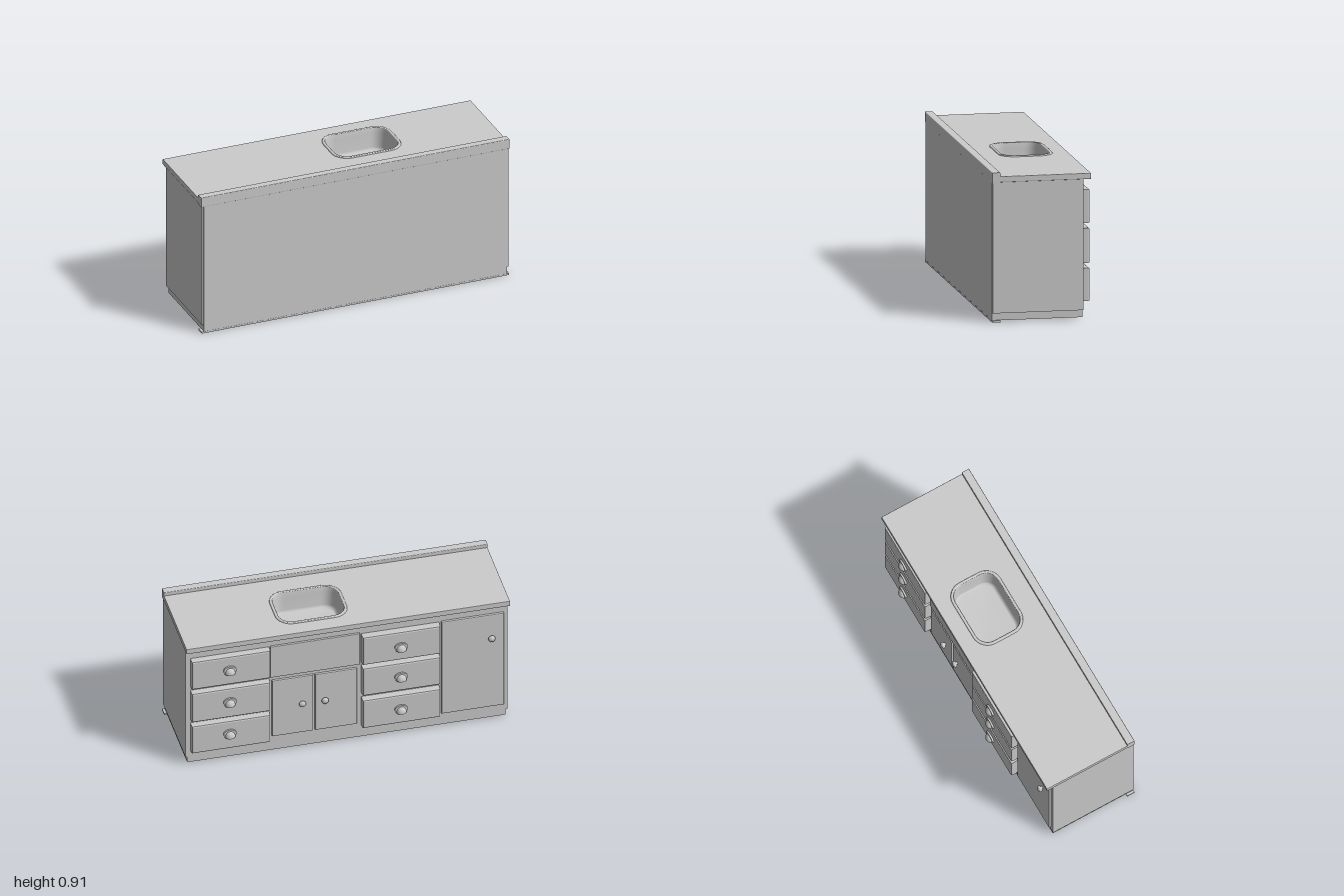
import * as THREE from 'three';

const material = new THREE.MeshStandardMaterial({ color: 0xcccccc });
const thin = new THREE.MeshStandardMaterial({ color: 0xcccccc, side: THREE.DoubleSide });

function add(parent, name, geometry, mat = material) {
  const mesh = new THREE.Mesh(geometry, mat);
  mesh.name = name;
  parent.add(mesh);
  return mesh;
}

// Box given by its limits
function box(parent, name, x0, x1, y0, y1, z0, z1) {
  const mesh = add(parent, name, new THREE.BoxGeometry(x1 - x0, y1 - y0, z1 - z0));
  mesh.position.set((x0 + x1) / 2, (y0 + y1) / 2, (z0 + z1) / 2);
}

// Rectangle, rounded when r > 0
function rect(x0, x1, y0, y1, r = 0, T = THREE.Shape) {
  const s = new T();
  s.moveTo(x0 + r, y0);
  s.lineTo(x1 - r, y0);
  if (r) s.absarc(x1 - r, y0 + r, r, -Math.PI / 2, 0);
  s.lineTo(x1, y1 - r);
  if (r) s.absarc(x1 - r, y1 - r, r, 0, Math.PI / 2);
  s.lineTo(x0 + r, y1);
  if (r) s.absarc(x0 + r, y1 - r, r, Math.PI / 2, Math.PI);
  s.lineTo(x0, y0 + r);
  if (r) s.absarc(x0 + r, y0 + r, r, Math.PI, Math.PI * 1.5);
  return s;
}

// Drawer front or door with chamfered edges; its face lies at zFace
function panel(parent, name, x0, x1, y0, y1, zFace, bevel) {
  const zBack = -0.225;
  const geometry = new THREE.ExtrudeGeometry(
    rect(x0 + bevel, x1 - bevel, y0 + bevel, y1 - bevel),
    { depth: zBack - zFace - 2 * bevel, bevelSize: bevel, bevelThickness: bevel, bevelSegments: 2 });
  add(parent, name, geometry).position.z = zFace + bevel;
}

// Half-dome cup pull with an oval back plate
function cupPull(parent, x, y, z) {
  const pull = new THREE.Group();
  pull.name = 'cupPull';
  const plate = add(pull, 'pullPlate', new THREE.CylinderGeometry(1, 1, 0.014, 24).rotateX(Math.PI / 2));
  plate.scale.set(0.04, 0.03, 1);
  plate.position.z = -0.004;
  const dome = add(pull, 'pullDome',
    new THREE.SphereGeometry(1, 20, 8, 0, Math.PI * 2, 0, Math.PI / 2), thin);
  dome.scale.set(0.034, 0.044, 0.033);
  dome.position.y = -0.022;
  const base = add(pull, 'pullBase', new THREE.CircleGeometry(1, 20).rotateX(Math.PI / 2));
  base.scale.set(0.034, 1, 0.033);
  base.position.y = -0.022;
  pull.position.set(x, y, z);
  parent.add(pull);
}

function roundKnob(parent, x, y, z) {
  const profile = [[0, 0.032], [0.012, 0.03], [0.02, 0.024], [0.022, 0.017], [0.017, 0.01], [0.009, 0.006], [0.009, 0]];
  const geometry = new THREE.LatheGeometry(profile.reverse().map(p => new THREE.Vector2(...p)), 20);
  const knob = add(parent, 'doorKnob', geometry.rotateX(-Math.PI / 2));
  knob.position.set(x, y, z);
}

// Sink shell: rounded loops from the rim's outer edge down to the floor centre
function sinkGeometry() {
  const sections = [ // inset, height
    [0, 0.888], [0.002, 0.895], [0.006, 0.897], [0.016, 0.897], [0.02, 0.893],
    [0.022, 0.86], [0.028, 0.77], [0.034, 0.755], [0.046, 0.748]];
  const positions = [], index = [];
  let n = 0;
  for (const [d, y] of sections) {
    const loop = rect(-0.04 + d, 0.405 - d, -0.19 + d, 0.142 - d, 0.1 - d).getSpacedPoints(72);
    n = loop.length;
    for (const p of loop) positions.push(p.x, y, p.y);
  }
  for (let i = 0; i < sections.length - 1; i++)
    for (let j = 0; j < n - 1; j++) {
      const a = i * n + j, b = a + n;
      index.push(a, b, a + 1, a + 1, b, b + 1);
    }
  const centre = positions.length / 3, last = (sections.length - 1) * n;
  positions.push(0.1825, 0.747, -0.024);
  for (let j = 0; j < n - 1; j++) index.push(last + j, centre, last + j + 1);
  const geometry = new THREE.BufferGeometry();
  geometry.setAttribute('position', new THREE.Float32BufferAttribute(positions, 3));
  geometry.setIndex(index);
  geometry.computeVertexNormals();
  return geometry;
}

export function createModel() {
  const model = new THREE.Group();
  model.name = 'sinkCabinet';

  // Carcass, open at the top below the counter
  box(model, 'rearPanel', -0.983, 0.983, 0.01, 0.856, 0.3, 0.319);
  box(model, 'faceFrame', -0.983, 0.983, 0.055, 0.856, -0.24, -0.22);
  box(model, 'plinth', -0.983, 0.983, 0.01, 0.06, -0.235, 0.315);
  box(model, 'bottomStrip', -0.998, 0.998, 0, 0.011, 0.27, 0.32);
  for (const s of [-1, 1])
    box(model, 'sidePanel', Math.min(s * 0.97, s * 0.995), Math.max(s * 0.97, s * 0.995), 0.055, 0.856, -0.24, 0.316);

  // Counter with the sink cut-out and an upstand
  const b = 0.004;
  const top = rect(-1 + b, 1 - b, -0.285 + b, 0.32 - b);
  top.holes.push(rect(-0.03, 0.395, -0.18, 0.132, 0.09, THREE.Path));
  const slab = new THREE.ExtrudeGeometry(top,
    { depth: 0.036 - 2 * b, bevelSize: b, bevelThickness: b, bevelSegments: 2, curveSegments: 12 });
  slab.rotateX(Math.PI / 2);
  add(model, 'counter', slab).position.y = 0.89 - b;
  const lip = new THREE.ExtrudeGeometry(rect(0.27, 0.32, 0.85, 0.914, 0.005), { depth: 2, bevelEnabled: false });
  lip.rotateY(-Math.PI / 2);
  // Upstand profile runs along x
  lip.translate(1, 0, 0);
  add(model, 'upstand', lip);
  add(model, 'sink', sinkGeometry(), thin);

  // Two stacks of three drawers
  const stacks = [
    { x0: 0.48, x1: 0.965, knob: 0.732, z: -0.284, rows: [[0.58, 0.785, 0.69], [0.335, 0.548, 0.453], [0.103, 0.305, 0.217]] },
    { x0: -0.57, x1: -0.09, knob: -0.325, z: -0.287, rows: [[0.575, 0.78, 0.675], [0.345, 0.548, 0.453], [0.103, 0.31, 0.212]] }];
  for (const { x0, x1, knob, z, rows } of stacks)
    for (const [y0, y1, yPull] of rows) {
      panel(model, 'drawerFront', x0, x1, y0, y1, z, 0.01);
      cupPull(model, knob, yPull, z);
    }

  // Blank panel under the sink, its pair of doors and the tall door
  panel(model, 'sinkApron', -0.08, 0.473, 0.56, 0.79, -0.253, 0.004);
  panel(model, 'sinkDoor', 0.208, 0.462, 0.12, 0.535, -0.254, 0.006);
  panel(model, 'sinkDoor', -0.062, 0.196, 0.12, 0.535, -0.254, 0.006);
  panel(model, 'tallDoor', -0.97, -0.585, 0.1, 0.785, -0.254, 0.006);
  roundKnob(model, 0.28, 0.345, -0.254);
  roundKnob(model, 0.14, 0.345, -0.254);
  roundKnob(model, -0.89, 0.62, -0.254);

  return model;
}
